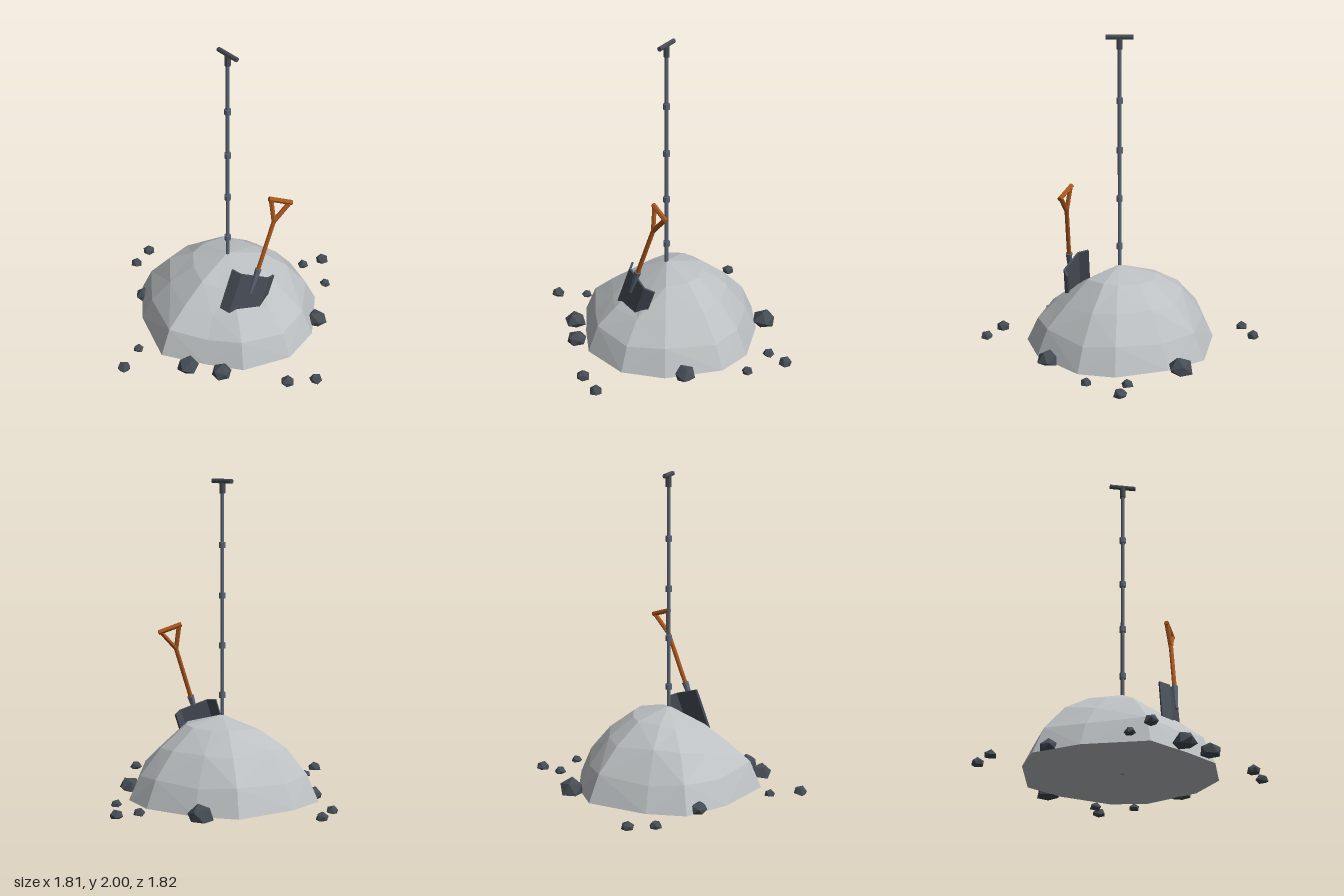
import * as THREE from 'three';

const flat = (name, color) => {
  const m = new THREE.MeshStandardMaterial({ color, flatShading: true });
  m.name = name;
  return m;
};
const ashGrey = flat('ashGrey', 0xbcc0c2);
const stoneDark = flat('stoneDark', 0x454c54);
const poleSteel = flat('poleSteel', 0x5c6675);
const ironDark = flat('ironDark', 0x474b54);
const bladeSteel = flat('bladeSteel', 0x484e57);
const wood = flat('wood', 0xa9571f);

function add(parent, name, geometry, material) {
  const mesh = new THREE.Mesh(geometry, material);
  mesh.name = name;
  parent.add(mesh);
  return mesh;
}

// Straight rod between two points, r0 at the start and r1 at the end
function rod(parent, name, a, b, r0, r1, sides, material) {
  const from = new THREE.Vector3(...a), to = new THREE.Vector3(...b);
  const mesh = add(parent, name, new THREE.CylinderGeometry(r1, r0, from.distanceTo(to), sides), material);
  mesh.position.copy(from).add(to).multiplyScalar(0.5);
  mesh.quaternion.setFromUnitVectors(new THREE.Vector3(0, 1, 0), to.sub(from).normalize());
  return mesh;
}

// Irregular faceted heap: an uneven outline pulled in over four levels
function moundGeometry() {
  const outline = [[0.6, -0.02], [0.5, 0.29], [0.3, 0.44], [0.05, 0.6], [-0.33, 0.47], [-0.58, 0.28],
    [-0.61, 0.03], [-0.53, -0.36], [-0.3, -0.51], [0.03, -0.61], [0.26, -0.56], [0.52, -0.29]];
  const shoulder = [0.28, 0.27, 0.26, 0.28, 0.29, 0.33, 0.34, 0.32, 0.33, 0.33, 0.32, 0.3];
  const crown = [0.4, 0.37, 0.38, 0.4, 0.41, 0.43, 0.45, 0.45, 0.45, 0.455, 0.46, 0.45];
  const n = outline.length;
  const rings = [
    outline.map(([x, z]) => [x, 0, z]),
    outline.map(([x, z], i) => [x * 0.88, 0.15 + 0.02 * (i % 2), z * 0.88]),
    outline.map(([x, z], i) => [x * 0.66, shoulder[i], z * 0.66]),
    outline.map(([x, z], i) => [x * 0.39, crown[i], z * 0.39]),
  ];
  const pos = [];
  const tri = (...corners) => corners.forEach((c) => pos.push(...c));
  for (let i = 0; i < n; i++) {
    const j = (i + 1) % n;
    for (let k = 0; k < 3; k++) {
      const a = rings[k][i], b = rings[k][j], c = rings[k + 1][i], d = rings[k + 1][j];
      if ((i + k) % 2) { tri(a, c, b); tri(b, c, d); } else { tri(a, c, d); tri(a, d, b); }
    }
    tri(rings[3][i], [0, 0.51, 0], rings[3][j]);
    tri(rings[0][i], rings[0][j], [0, 0, 0]);
  }
  const g = new THREE.BufferGeometry();
  g.setAttribute('position', new THREE.Float32BufferAttribute(pos, 3));
  g.computeVertexNormals();
  return g;
}

// Faceted pebble with its underside flattened on the ground
function rockGeometry(size, seed) {
  const g = new THREE.IcosahedronGeometry(size, 0);
  g.rotateX(seed * 1.3).rotateY(seed * 2.1).rotateZ(seed * 0.7);
  g.translate(0, size * 0.22, 0);
  const p = g.attributes.position;
  for (let i = 0; i < p.count; i++) p.setY(i, Math.max(0, p.getY(i)));
  g.computeVertexNormals();
  return g;
}

// Digging tool, built upright: y along the shaft, x across the blade
function createShovel() {
  const shovel = new THREE.Group();
  shovel.name = 'shovel';

  // Blade with both sides folded back
  const section = new THREE.Shape([[-0.147, 0.05], [-0.095, 0], [0.095, 0], [0.147, 0.05],
    [0.138, 0.06], [0.09, 0.013], [-0.09, 0.013], [-0.138, 0.06]].map((p) => new THREE.Vector2(...p)));
  const blade = new THREE.ExtrudeGeometry(section, { depth: 0.285, bevelEnabled: false });
  blade.rotateX(-Math.PI / 2).translate(0, -0.165, -0.008);
  add(shovel, 'blade', blade, bladeSteel);

  // Socket and shaft
  rod(shovel, 'socket', [0, 0, 0], [0, 0.18, 0], 0.009, 0.022, 8, poleSteel);
  rod(shovel, 'shaft', [0, 0.16, 0], [0, 0.54, 0], 0.014, 0.014, 8, wood);

  // Triangular grip
  for (const s of [-1, 1]) {
    rod(shovel, 'gripArm', [0, 0.525, 0], [s * 0.064, 0.67, 0], 0.015, 0.015, 6, wood);
  }
  rod(shovel, 'gripBar', [-0.078, 0.67, 0], [0.078, 0.67, 0], 0.016, 0.016, 6, wood);

  // Lean the tool back and turn it against the heap
  const along = new THREE.Vector3(0.022, 0.94, -0.338).normalize();
  const across = new THREE.Vector3(0.45, -0.3, -0.84);
  across.addScaledVector(along, -across.dot(along)).normalize();
  const face = new THREE.Vector3().crossVectors(across, along);
  shovel.quaternion.setFromRotationMatrix(new THREE.Matrix4().makeBasis(across, along, face));
  shovel.position.set(0.32, 0.41, 0.08);
  return shovel;
}

export function createModel() {
  const model = new THREE.Group();
  model.name = 'moundWithTools';

  add(model, 'mound', moundGeometry(), ashGrey);

  // Tall jointed pole with a cross handle
  const pole = new THREE.Group();
  pole.name = 'pole';
  model.add(pole);
  rod(pole, 'poleShaft', [0, 0, 0], [0, 1.93, 0], 0.012, 0.012, 10, poleSteel);
  for (const y of [0.635, 0.953, 1.27, 1.588]) {
    rod(pole, 'poleJoint', [0, y - 0.018, 0], [0, y + 0.018, 0], 0.021, 0.021, 10, poleSteel);
  }
  rod(pole, 'handleSocket', [0, 1.91, 0], [0, 1.98, 0], 0.019, 0.019, 10, ironDark);
  rod(pole, 'handleBar', [-0.085, 1.985, 0], [0.085, 1.985, 0], 0.015, 0.015, 10, ironDark);

  model.add(createShovel());

  // Scattered stones: x, z, size
  const stones = [[0, -0.87, 0.045], [-0.045, -0.73, 0.038], [0.205, -0.705, 0.036], [-0.375, -0.53, 0.082],
    [0.45, -0.395, 0.072], [-0.87, 0, 0.042], [-0.81, 0.155, 0.04], [0.865, 0, 0.042], [0.77, 0.155, 0.045],
    [-0.49, 0.33, 0.06], [0.44, 0.42, 0.067], [0.26, 0.55, 0.073], [-0.085, 0.685, 0.035], [0, 0.865, 0.045]];
  stones.forEach(([x, z, size], i) => {
    add(model, 'stone', rockGeometry(size, i + 1), stoneDark).position.set(x, 0, z);
  });
  return model;
}
